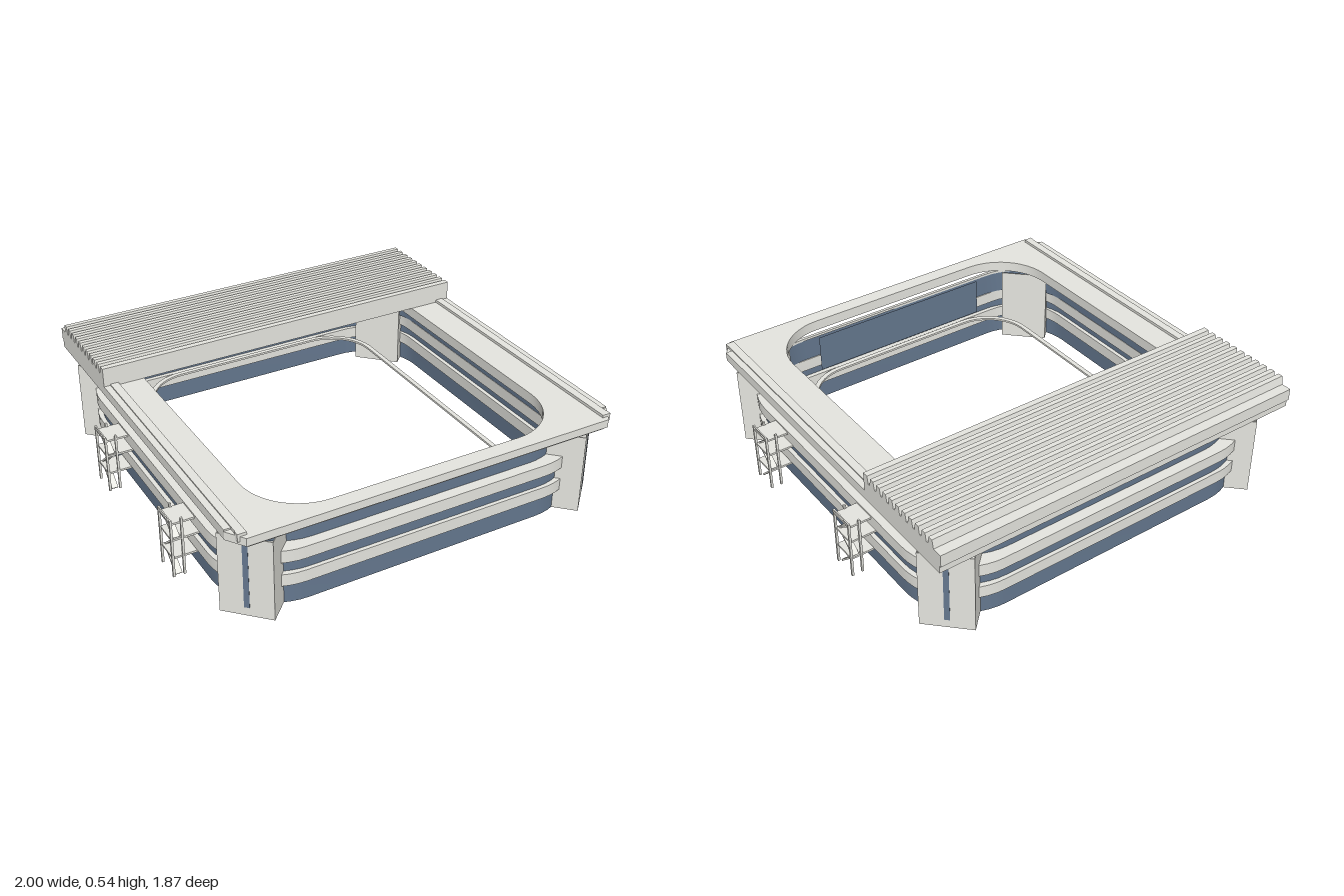
import * as THREE from 'three';
import { toCreasedNormals } from 'three/addons/utils/BufferGeometryUtils.js';

const concrete = new THREE.MeshStandardMaterial({ name: 'pale concrete', color: 0xe6e6e0 });
const glazing = new THREE.MeshStandardMaterial({ name: 'slate blue glazing', color: 0x65788f });

function add(parent, name, geometry, material) {
  const mesh = new THREE.Mesh(geometry, material);
  mesh.name = name;
  parent.add(mesh);
  return mesh;
}

// Box given by its minimum and maximum corners
function block(parent, name, material, x0, x1, y0, y1, z0, z1) {
  const mesh = add(parent, name, new THREE.BoxGeometry(x1 - x0, y1 - y0, z1 - z0), material);
  mesh.position.set((x0 + x1) / 2, (y0 + y1) / 2, (z0 + z1) / 2);
}

// Thin bar between two points
function bar(parent, name, a, b, width, depth, material) {
  const from = new THREE.Vector3(...a), to = new THREE.Vector3(...b);
  const mesh = add(parent, name, new THREE.BoxGeometry(width, depth, from.distanceTo(to)), material);
  mesh.position.copy(from).add(to).multiplyScalar(0.5);
  mesh.lookAt(to);
}

// Rounded rectangle outline with half sizes hx, hz and corner radius r
function roundedRect(path, hx, hz, r, cx = 0) {
  path.moveTo(cx + hx, -hz + r);
  path.lineTo(cx + hx, hz - r);
  path.absarc(cx + hx - r, hz - r, r, 0, Math.PI / 2);
  path.lineTo(cx - hx + r, hz);
  path.absarc(cx - hx + r, hz - r, r, Math.PI / 2, Math.PI);
  path.lineTo(cx - hx, -hz + r);
  path.absarc(cx - hx + r, -hz + r, r, Math.PI, Math.PI * 1.5);
  path.lineTo(cx + hx - r, -hz);
  path.absarc(cx + hx - r, -hz + r, r, Math.PI * 1.5, Math.PI * 2);
  return path;
}

// Extrude a plan shape upward from y0 to y1
function raise(shape, y0, y1) {
  const g = new THREE.ExtrudeGeometry(shape, { depth: y1 - y0, bevelEnabled: false, curveSegments: 6 });
  g.rotateX(-Math.PI / 2);
  g.translate(0, y0, 0);
  return toCreasedNormals(g, 0.5);
}

// Rounded-square ring wall
function ring(parent, name, material, hx, hz, r, thick, y0, y1, cx = 0) {
  const shape = roundedRect(new THREE.Shape(), hx, hz, r, cx);
  shape.holes.push(roundedRect(new THREE.Path(), hx - thick, hz - thick, r - thick, cx));
  add(parent, name, raise(shape, y0, y1), material);
}

function addWalls(model) {
  const walls = new THREE.Group();
  walls.name = 'walls';
  model.add(walls);
  ring(walls, 'lowerGlazing', glazing, 0.868, 0.868, 0.3, 0.01, 0, 0.1);
  ring(walls, 'middleGlazing', glazing, 0.866, 0.868, 0.3, 0.01, 0.157, 0.215);
  ring(walls, 'upperGlazing', glazing, 0.833, 0.836, 0.3, 0.01, 0.273, 0.383);
  ring(walls, 'lowerBand', concrete, 0.886, 0.886, 0.3, 0.05, 0.1, 0.157);
  ring(walls, 'upperBand', concrete, 0.886, 0.886, 0.3, 0.065, 0.215, 0.273);
  ring(walls, 'roofSeat', concrete, 0.83, 0.835, 0.29, 0.015, 0.383, 0.395);
  // Slim rail around the inside
  ring(walls, 'innerRail', concrete, 0.61, 0.825, 0.24, 0.023, 0.155, 0.165, -0.01);
  // Tall screen on the inner side of the front wall
  const screen = add(walls, 'frontScreen', new THREE.PlaneGeometry(0.93, 0.185), glazing);
  screen.position.set(0, 0.2925, 0.802);
  screen.rotation.y = Math.PI;
}

// Hollow corner tower turned to face outward along the diagonal
function addTower(model, sx, sz) {
  const tower = new THREE.Group();
  tower.name = 'cornerTower';
  const rect = (path, w, near, far) => path.moveTo(-w, near).lineTo(w, near).lineTo(w, far).lineTo(-w, far).closePath();
  const plan = new THREE.Shape(), inside = new THREE.Path();
  rect(plan, 0.116, 0, 0.185);
  rect(inside, 0.112, 0.004, 0.181);
  plan.holes.push(inside);
  add(tower, 'towerWalls', raise(plan, 0, 0.382), concrete);
  block(tower, 'towerWindow', glazing, -0.012, 0.012, 0.04, 0.35, -0.003, 0.0015);
  tower.position.set(sx * 0.84, 0, sz * 0.845 + 0.004);
  tower.rotation.y = Math.atan2(sx, sz);
  model.add(tower);
}

function addRoof(model) {
  const roof = new THREE.Group();
  roof.name = 'roof';
  model.add(roof);
  // Two stacked slabs with a rounded opening; front corners are cut
  const layer = (name, inset, y0, y1) => {
    const hx = 0.925 - inset, front = 0.933 - inset, back = 0.93 - inset;
    const shape = new THREE.Shape([
      [-hx, back], [-hx, -front + 0.08], [-hx + 0.055, -front],
      [hx - 0.055, -front], [hx, -front + 0.08], [hx, back],
    ].map(([x, y]) => new THREE.Vector2(x, y)));
    shape.holes.push(roundedRect(new THREE.Path(), 0.7225, 0.86, 0.27, -0.01));
    add(roof, name, raise(shape, y0, y1), concrete);
  };
  layer('roofSoffit', 0.012, 0.393, 0.405);
  layer('roofSlab', 0, 0.405, 0.443);

  // Edge rails with small end caps
  for (const s of [-1, 1]) {
    const side = (a, b) => (s > 0 ? [a, b] : [-b, -a]);
    block(roof, 'edgeRail', concrete, ...side(0.895, 0.925), 0.44, 0.45, -0.4, 0.85);
    block(roof, 'innerRoofRail', concrete, ...side(0.857, 0.895), 0.44, 0.456, -0.4, 0.895);
    block(roof, 'railEndCap', concrete, ...side(0.857, 0.897), 0.42, 0.456, 0.885, 0.91);
  }

  // Ribbed cover at the back, its side profile extruded across the width
  const profile = new THREE.Shape();
  profile.moveTo(-0.94, 0.443);
  profile.lineTo(-0.39, 0.443);
  profile.lineTo(-0.39, 0.54);
  const ribs = 10, pitch = 0.0465;
  for (let i = 0; i < ribs; i++) {
    const z = -0.43 - i * pitch;
    profile.lineTo(z + 0.011, 0.54);
    profile.lineTo(z + 0.004, 0.503);
    profile.lineTo(z - 0.006, 0.503);
    profile.lineTo(z - 0.013, 0.54);
  }
  profile.lineTo(-0.885, 0.54);
  profile.lineTo(-0.893, 0.5);
  profile.lineTo(-0.94, 0.5);
  profile.closePath();
  const cover = new THREE.ExtrudeGeometry(profile, { depth: 1.85, bevelEnabled: false });
  cover.rotateY(-Math.PI / 2);
  cover.translate(0.925, 0, 0);
  add(roof, 'ribbedCover', cover, concrete);
}

// Open stair tower on the outer side, built for +x and turned for -x
function addStairs(model, side, z) {
  const stairs = new THREE.Group();
  stairs.name = 'stairTower';
  const h = 0.058, x0 = 0.945, x1 = 0.993;
  for (const x of [x0, x1])
    for (const s of [-1, 1]) block(stairs, 'post', concrete, x - 0.005, x + 0.005, 0, 0.282, s * h - 0.005, s * h + 0.005);
  const levels = [0, 0.095, 0.185, 0.265];
  for (let i = 0; i < 3; i++) {
    const top = levels[i + 1], dir = (i === 1 ? -1 : 1) * side;
    block(stairs, 'landing', concrete, 0.86, x1, top - 0.009, top, -h, h);
    bar(stairs, 'flight', [0.968, levels[i], dir * 0.05], [0.968, top - 0.005, -dir * 0.05], 0.03, 0.008, concrete);
  }
  block(stairs, 'topRail', concrete, x1 - 0.003, x1 + 0.003, 0.279, 0.282, -h, h);
  stairs.position.z = z;
  if (side < 0) stairs.rotation.y = Math.PI;
  model.add(stairs);
}

export function createModel() {
  const model = new THREE.Group();
  model.name = 'arena';
  addWalls(model);
  addRoof(model);
  for (const sx of [-1, 1]) {
    for (const sz of [-1, 1]) addTower(model, sx, sz);
    for (const z of [0.42, -0.3]) addStairs(model, sx, z);
  }
  return model;
}
